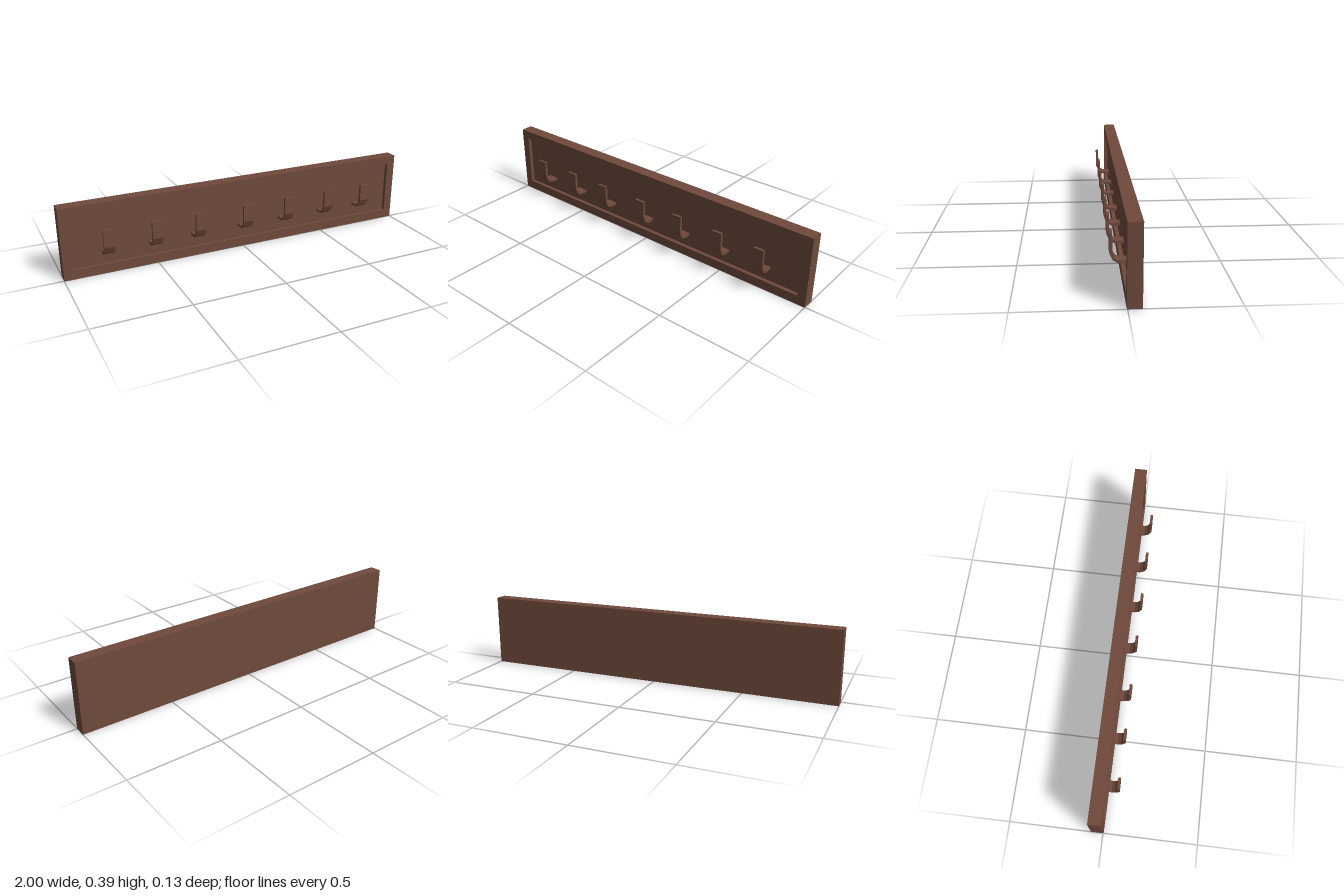
import * as THREE from 'three';

const wood = new THREE.MeshStandardMaterial({ color: 0x6f4a3c });
wood.name = 'brownWood';

const HEIGHT = 0.39, BACK = -0.065, FLOOR = -0.018, FRONT = 0.003;

function addMesh(parent, name, geometry) {
  const mesh = new THREE.Mesh(geometry, wood);
  mesh.name = name;
  parent.add(mesh);
  return mesh;
}

// Hook side profile as [z, y], thick strip bent upward
const hookProfile = [
  [FLOOR - 0.003, 0.118], [0.024, 0.118], [0.051, 0.135], [0.066, 0.17], [0.066, 0.264],
  [0.052, 0.264], [0.052, 0.17], [0.041, 0.143], [0.023, 0.132], [FLOOR - 0.003, 0.132],
];

function hookGeometry(width) {
  // Shape x is -z, so that a quarter turn brings the extrusion onto x
  const shape = new THREE.Shape(hookProfile.map(([z, y]) => new THREE.Vector2(-z, y)));
  const geometry = new THREE.ExtrudeGeometry(shape, { depth: width, bevelEnabled: false });
  geometry.translate(0, 0, -width / 2);
  geometry.rotateY(Math.PI / 2);
  return geometry;
}

export function createModel() {
  const group = new THREE.Group();
  group.name = 'wallHookRack';

  // Back board, whose face is the recessed panel
  const board = addMesh(group, 'backBoard', new THREE.BoxGeometry(2, HEIGHT, FLOOR - BACK));
  board.position.set(0, HEIGHT / 2, (FLOOR + BACK) / 2);

  // Raised border around the panel
  const border = new THREE.Shape([[-1, 0], [1, 0], [1, HEIGHT], [-1, HEIGHT]].map((p) => new THREE.Vector2(...p)));
  border.holes.push(new THREE.Path(
    [[-0.953, 0.05], [-0.953, 0.343], [0.953, 0.343], [0.953, 0.05]].map((p) => new THREE.Vector2(...p))));
  const frame = addMesh(group, 'raisedBorder',
    new THREE.ExtrudeGeometry(border, { depth: FRONT - FLOOR, bevelEnabled: false }));
  frame.position.z = FLOOR;

  // Row of seven hooks
  const hook = hookGeometry(0.058);
  [-0.77, -0.515, -0.275, 0.003, 0.255, 0.51, 0.755].forEach((x, i) => {
    addMesh(group, `hook${i + 1}`, hook).position.x = x;
  });

  return group;
}
